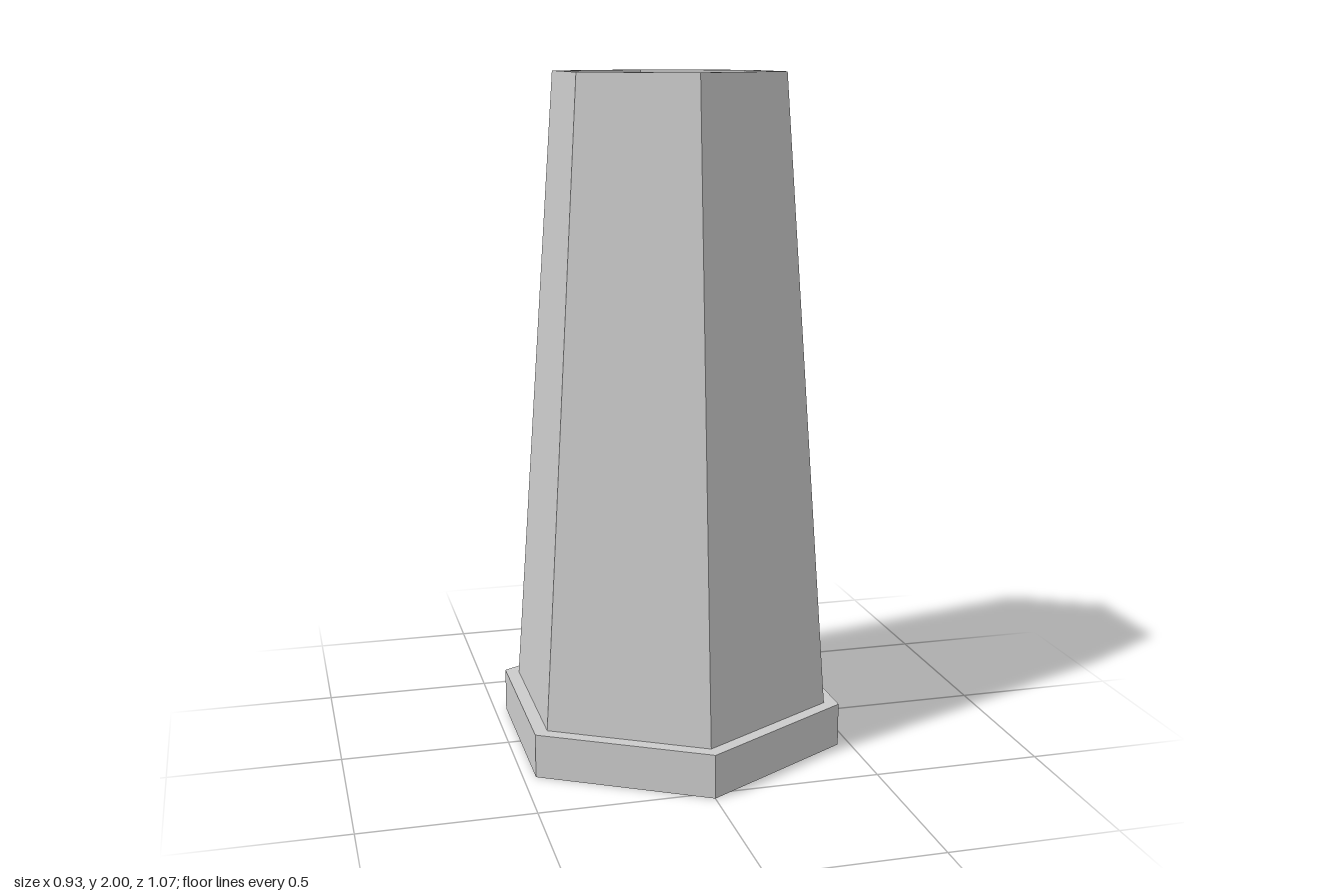
import * as THREE from 'three';

const material = new THREE.MeshStandardMaterial({
  color: 0xcccccc,
  flatShading: true,
  side: THREE.DoubleSide,
});

// Hexagonal open shell swept from [radius, height] pairs, corners on the z axis
function hexShell(name, profile) {
  const points = profile.map(([r, y]) => new THREE.Vector2(r, y));
  const mesh = new THREE.Mesh(new THREE.LatheGeometry(points, 6), material);
  mesh.name = name;
  return mesh;
}

export function createModel() {
  const model = new THREE.Group();
  model.name = 'hexagonalTower';

  // Tapered outer wall rising from the plinth
  model.add(hexShell('outerWall', [[0.49, 0.13], [0.35, 2]]));

  // Thin lining inside the wall, open at both ends
  model.add(hexShell('innerWall', [[0.325, 2], [0.45, 0]]));

  // Vertical skirt with a flat ledge meeting the wall
  model.add(hexShell('basePlinth', [[0.535, 0], [0.535, 0.13], [0.49, 0.13]]));

  return model;
}
